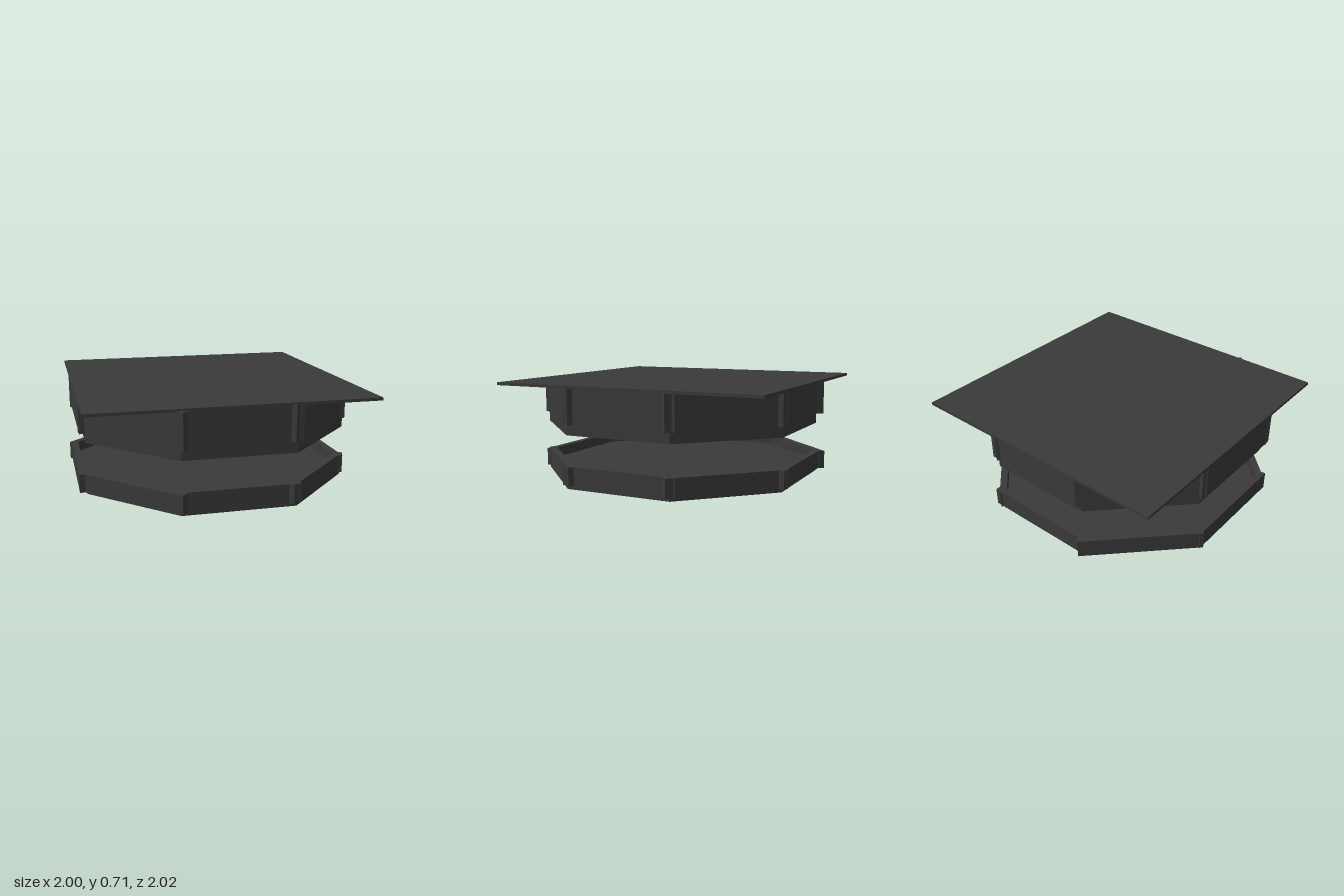
import * as THREE from 'three';

const material = new THREE.MeshStandardMaterial({ color: 0x3a3a3a, flatShading: true });
const CX = 0.011, CZ = 0.025;   // centre of the octagonal tiers
const APOTHEM = 0.946;          // centre to the middle of a side
const SIDE = 2 * APOTHEM * Math.tan(Math.PI / 8);
const FLOOR = 0.08;             // thickness of each octagonal floor

function addMesh(parent, geometry, name, x, y, z) {
  const mesh = new THREE.Mesh(geometry, material);
  mesh.name = name;
  mesh.position.set(x, y, z);
  parent.add(mesh);
  return mesh;
}

// One tier: an octagonal floor with eight wall panels that overshoot its corners.
// pushX and pushZ move the panels outwards on the -x and -z sides.
function createTier({ name, base, bottom, top, pushX, pushZ }) {
  const tier = new THREE.Group();
  tier.name = name;
  const radius = APOTHEM / Math.cos(Math.PI / 8);
  const floor = new THREE.CylinderGeometry(radius, radius, FLOOR, 8, 1, false, Math.PI / 8);
  addMesh(tier, floor, 'octagonFloor', CX, base + FLOOR / 2, CZ);

  const thickness = 0.05;
  const panel = new THREE.BoxGeometry(SIDE + 0.075, top - bottom, thickness);
  for (let i = 0; i < 8; i++) {
    const angle = i * Math.PI / 4;
    const nx = Math.sin(angle), nz = Math.cos(angle);
    const push = 0.001 + pushX * Math.max(0, -nx) + pushZ * Math.max(0, -nz);
    const d = APOTHEM + push - thickness / 2;
    const wall = addMesh(tier, panel, 'wallPanel', CX + nx * d, (bottom + top) / 2, CZ + nz * d);
    wall.rotation.y = angle;
  }
  return tier;
}

export function createModel() {
  const model = new THREE.Group();
  model.name = 'tieredPavilion';

  // Lower open tray and the upper drum floating above it
  model.add(createTier({ name: 'lowerTier', base: 0, bottom: 0.025, top: 0.156, pushX: 0.052, pushZ: 0.028 }));
  model.add(createTier({ name: 'upperTier', base: 0.37, bottom: 0.445, top: 0.695, pushX: 0.04, pushZ: 0.014 }));

  // Thin square roof
  addMesh(model, new THREE.BoxGeometry(1.975, 0.02, 1.975), 'roofSlab', 0, 0.7, -0.012);
  return model;
}
